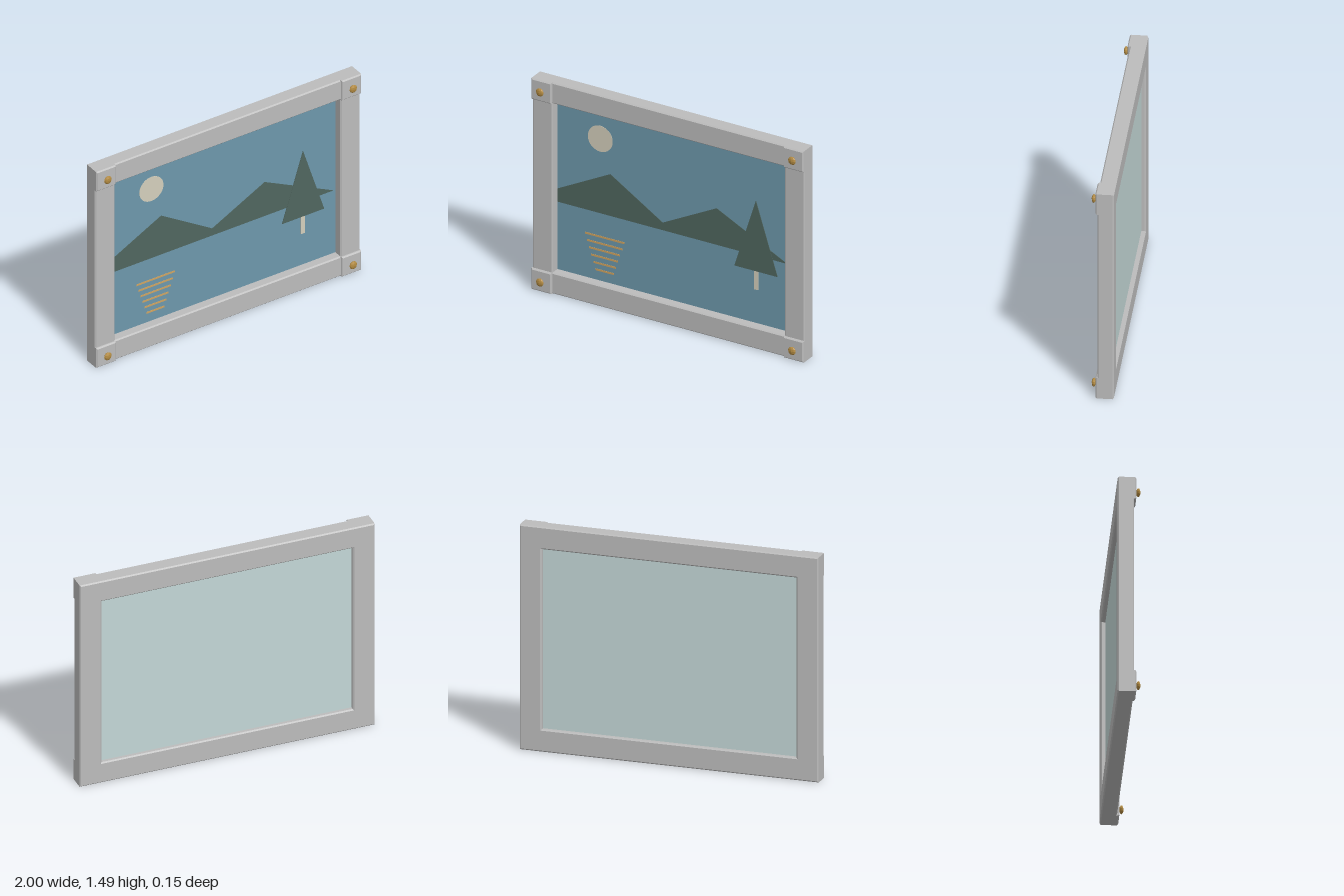
import * as THREE from 'three';

const mat = (name, color) => {
  const m = new THREE.MeshStandardMaterial({ color });
  m.name = name;
  return m;
};

// closed rectangle as a list of points
const rect = (x0, y0, x1, y1) =>
  [[x0, y0], [x1, y0], [x1, y1], [x0, y1]].map(([x, y]) => new THREE.Vector2(x, y));

// chamfered slab between z0 and z1
function chamferedSlab(shape, z0, z1, b) {
  const geo = new THREE.ExtrudeGeometry(shape, {
    depth: z1 - z0 - 2 * b, bevelEnabled: true,
    bevelThickness: b, bevelSize: b, bevelSegments: 1, curveSegments: 1,
  });
  return geo.translate(0, 0, z0 + b);
}

export function createModel() {
  const model = new THREE.Group();
  model.name = 'framedLandscape';

  const grey = mat('frameGrey', 0xbcbcbc);
  const blue = mat('skyBlue', 0x6d98ac);
  const green = mat('darkGreen', 0x50665f);
  const cream = mat('cream', 0xd4cfbc);
  const amber = mat('amber', 0xd0a562);
  const brass = mat('brass', 0xb38b42);
  const pale = mat('backingPale', 0xc4d8d7);

  const add = (name, geo, material, parent = model) => {
    const mesh = new THREE.Mesh(geo, material);
    mesh.name = name;
    parent.add(mesh);
    return mesh;
  };

  const H = 1.486, W = 0.148, b = 0.008;

  // frame with a chamfered opening
  const outline = new THREE.Shape(rect(-1 + b, b, 1 - b, H - b));
  outline.holes.push(new THREE.Path(rect(-1 + W - b, W - b, 1 - W + b, H - W + b).reverse()));
  add('frame', chamferedSlab(outline, -0.073, 0.03, b), grey);

  // raised corner blocks with flattened studs
  const block = chamferedSlab(new THREE.Shape(rect(-W / 2 + b, -W / 2 + b, W / 2 - b, W / 2 - b)), 0, 0.045, b);
  const studGeo = new THREE.SphereGeometry(0.028, 8, 6).scale(1, 1, 0.5).toNonIndexed();
  studGeo.computeVertexNormals();
  for (const sx of [-1, 1]) {
    for (const y of [W / 2, H - W / 2]) {
      const corner = new THREE.Group();
      corner.name = 'corner';
      corner.position.set(sx * (1 - W / 2), y, 0);
      model.add(corner);
      add('cornerBlock', block, grey, corner);
      add('stud', studGeo, brass, corner).position.z = 0.061;
    }
  }

  // picture panel and its backing board
  const pw = 2 - 2 * W + 0.02, ph = H - 2 * W + 0.02;
  add('picturePanel', new THREE.BoxGeometry(pw, ph, 0.006), blue).position.set(0, H / 2, -0.035);
  add('backingBoard', new THREE.BoxGeometry(pw, ph, 0.006), pale).position.set(0, H / 2, -0.041);

  // thin painted shapes on the front of the panel
  const front = -0.032;
  const paint = (name, points, material, thick = 0.002) => {
    const shape = new THREE.Shape(points.map(([x, y]) => new THREE.Vector2(x, y)));
    const geo = new THREE.ExtrudeGeometry(shape, { depth: thick, bevelEnabled: false });
    add(name, geo.translate(0, 0, front), material);
  };

  add('moon', new THREE.CylinderGeometry(0.091, 0.091, 0.002, 40).rotateX(Math.PI / 2), cream)
    .position.set(-0.537, 1.147, front + 0.001);
  paint('hills', [[-0.85, 0.623], [0.837, 0.623], [0.318, 0.88], [-0.078, 0.676], [-0.463, 0.917], [-0.85, 0.716]], green);
  paint('treeTrunk', [[0.591, 0.382], [0.623, 0.382], [0.623, 0.52], [0.591, 0.52]], cream);
  paint('treeCrown', [[0.449, 0.513], [0.766, 0.513], [0.607, 1.008]], green, 0.004);

  // reflection stripes, narrowing downwards
  for (let i = 0; i < 6; i++) {
    add('reflectionStripe', new THREE.BoxGeometry(0.29 - 0.031 * i, 0.013, 0.002), amber)
      .position.set(-0.505, 0.457 - 0.0475 * i, front + 0.001);
  }
  return model;
}
